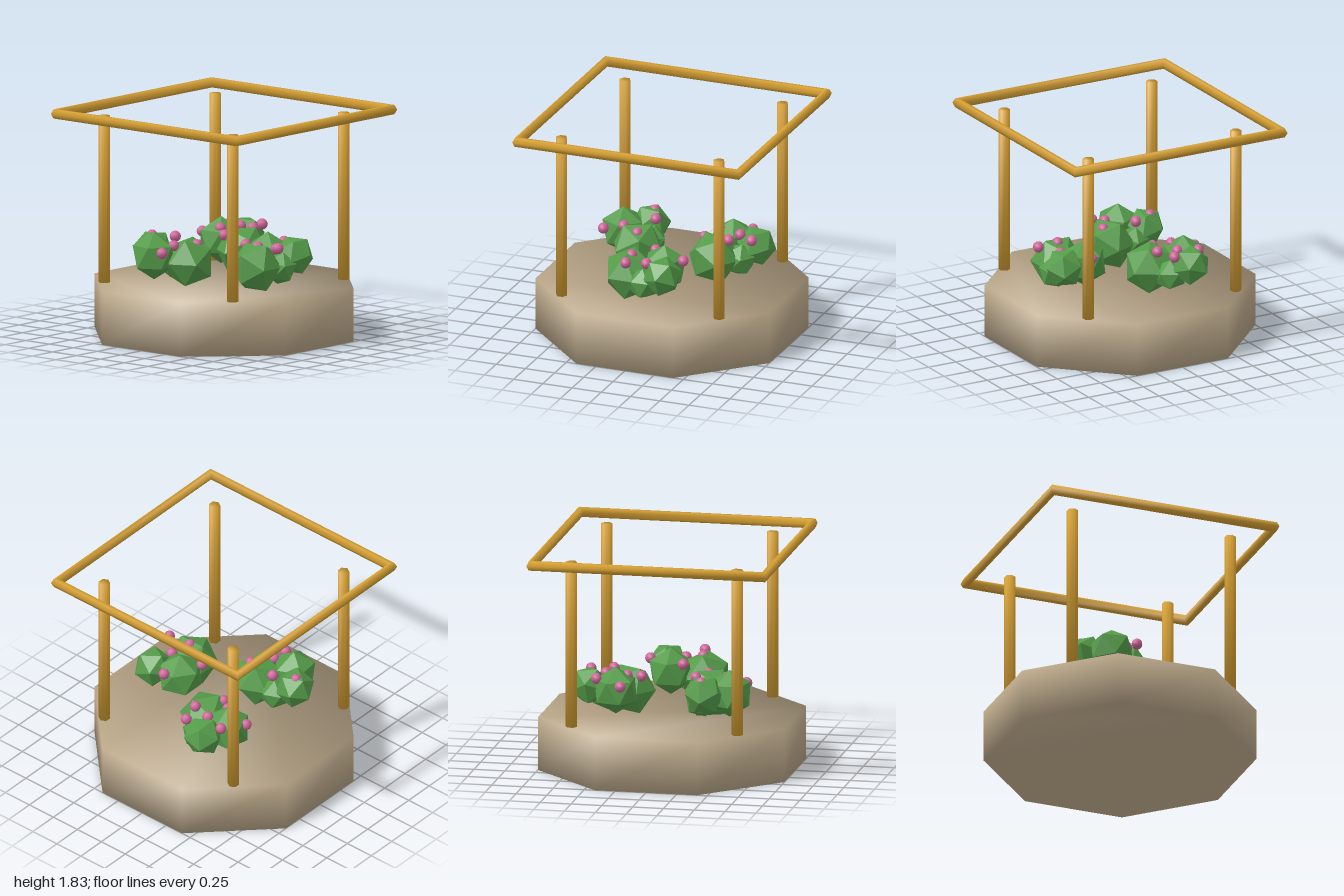
import * as THREE from 'three';

const mat = (name, color, flatShading = false) => {
  const m = new THREE.MeshStandardMaterial({ color, flatShading });
  m.name = name;
  return m;
};

// Prism whose rim normals are blended between side and cap, so it shades softly.
function softPrism(radius, height, sides, thetaStart = 0) {
  const g = new THREE.CylinderGeometry(radius, radius, height, sides, 1, true, thetaStart);
  const index = [...g.index.array];
  for (let i = 1; i < sides - 1; i++) {
    const b = sides + 1;
    index.push(0, i, i + 1, b, b + i + 1, b + i);
  }
  g.setIndex(index);
  const p = g.attributes.position;
  const n = new THREE.Vector3();
  for (let i = 0; i < p.count; i++) {
    n.set(p.getX(i) / radius, Math.sign(p.getY(i)) * 0.74, p.getZ(i) / radius).normalize();
    g.attributes.normal.setXYZ(i, n.x, n.y, n.z);
  }
  return g;
}

export function createModel() {
  const stone = mat('stone', 0xb9a688);
  const gold = mat('gold', 0xd6a033);
  const leaf = mat('leaf green', 0x559c4a, true);
  const pink = mat('blossom pink', 0xd0659a);

  const model = new THREE.Group();
  model.name = 'gardenPavilion';
  const add = (parent, name, geometry, material, x, y, z) => {
    const mesh = new THREE.Mesh(geometry, material);
    mesh.name = name;
    mesh.position.set(x, y, z);
    parent.add(mesh);
    return mesh;
  };

  // Octagonal base
  add(model, 'base', softPrism(1.082, 0.43, 8, Math.PI / 8), stone, 0, 0.215, 0);

  // Four hexagonal posts
  const postGeo = softPrism(0.046, 1.35, 6);
  for (const x of [-0.673, 0.673])
    for (const z of [-0.673, 0.673]) add(model, 'post', postGeo, gold, x, 1.1, z);

  // Square top frame: a four-segment ring
  const frameGeo = new THREE.TorusGeometry(1.335, 0.043, 6, 4);
  frameGeo.rotateZ(Math.PI / 4).rotateX(Math.PI / 2);
  add(model, 'topFrame', frameGeo, gold, 0, 1.792, 0);

  // Bush: four faceted clumps [x, y, z, radius, tilt]
  const clumps = [
    [0.01, 0.62, 0.17, 0.213, 0],
    [-0.09, 0.67, -0.09, 0.19, 0.55],
    [0.13, 0.685, -0.16, 0.162, 1.1],
    [0.12, 0.6, 0, 0.135, 0.3],
  ];
  // Three bushes around the centre, each turned one radian further
  [0, -1, 1].forEach((step, i) => {
    const angle = (step * Math.PI * 2) / 3;
    const bush = new THREE.Group();
    bush.name = 'bush';
    bush.position.set(0.47 * Math.cos(angle), 0, 0.47 * Math.sin(angle));
    bush.rotation.y = i;
    for (const [x, y, z, r, tilt] of clumps) {
      const mesh = add(bush, 'foliage', new THREE.IcosahedronGeometry(r), leaf, x, y, z);
      mesh.rotation.z = tilt;
    }
    model.add(bush);
  });

  // Blossoms scattered over the bushes
  const blossoms = [
    [0.405, 0.76, -0.26], [0.26, 0.757, -0 + 0.035], [0.675, 0.785, 0.125],
    [0.485, 0.78, 0.15], [0.545, 0.75, 0],
    [-0.14, 0.787, -0.625], [-0.085, 0.787, -0.45], [-0.175, 0.75, -0.21],
    [-0.245, 0.78, -0.485], [-0.415, 0.77, -0.525], [-0.5, 0.73, -0.315], [-0.295, 0.78, -0.3],
    [-0.29, 0.79, 0.255], [-0.465, 0.79, 0.335], [-0.125, 0.76, 0.465],
    [-0.105, 0.722, 0.63], [-0.02, 0.76, 0.305],
  ];
  const blossomGeo = new THREE.SphereGeometry(0.045, 8, 6);
  for (const [x, y, z] of blossoms) add(model, 'blossom', blossomGeo, pink, x, y, z);

  return model;
}
